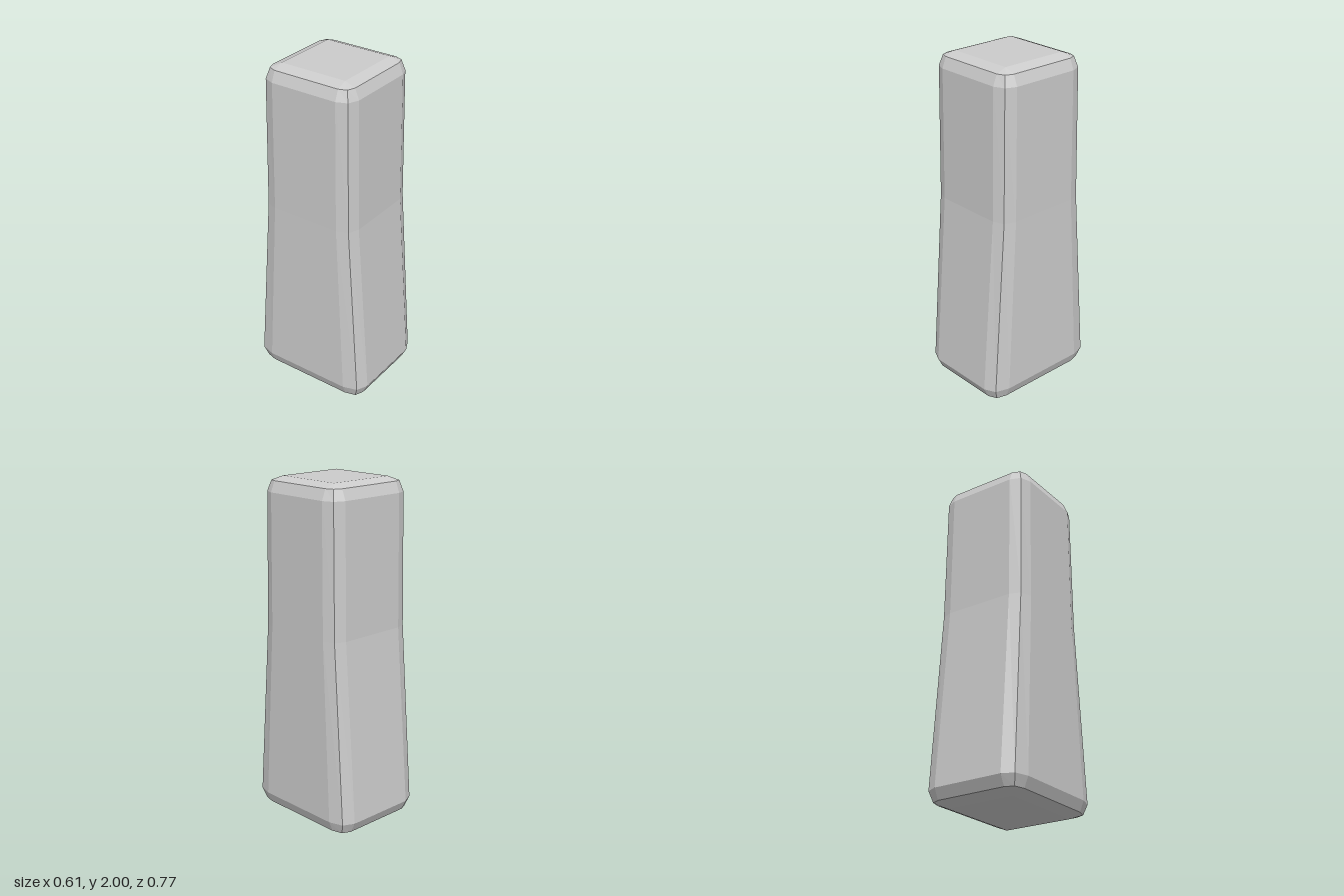
import * as THREE from 'three';

// Cross-sections, bottom to top: half width and depth (x, z), the ends of the
// straight sides (ix, iz) and the middle of the corner bevel (cx, cz).
const SECTIONS = [
  { y: 0, x: 0.21, z: 0.27, ix: 0.21, iz: 0.27, cx: 0.21, cz: 0.27 },
  { y: 0.028, x: 0.28, z: 0.353, ix: 0.213, iz: 0.27, cx: 0.263, cz: 0.331 },
  { y: 0.09, x: 0.305, z: 0.384, ix: 0.213, iz: 0.27, cx: 0.28, cz: 0.353 },
  { y: 1.15, x: 0.295, z: 0.302, ix: 0.207, iz: 0.212, cx: 0.271, cz: 0.278 },
  { y: 1.915, x: 0.292, z: 0.292, ix: 0.205, iz: 0.205, cx: 0.267, cz: 0.267 },
  { y: 1.977, x: 0.267, z: 0.267, ix: 0.205, iz: 0.205, cx: 0.25, cz: 0.25 },
  { y: 2, x: 0.205, z: 0.205, ix: 0.205, iz: 0.205, cx: 0.205, cz: 0.205 },
];

// Mirror one bevelled corner into the four quadrants, running from +x towards +z
function ring({ y, x, z, ix, iz, cx, cz }) {
  const corner = [[x, iz], [cx, cz], [ix, z]];
  const points = [];
  for (const [sx, sz] of [[1, 1], [-1, 1], [-1, -1], [1, -1]]) {
    const order = sx * sz > 0 ? corner : [...corner].reverse();
    for (const [px, pz] of order) points.push(new THREE.Vector3(sx * px, y, sz * pz));
  }
  return points;
}

function loft(sections) {
  const rings = sections.map(ring);
  const positions = [];
  // Add a triangle unless it has collapsed at a cap corner
  const face = (a, b, c) => {
    if (new THREE.Triangle(a, b, c).getArea() < 1e-8) return;
    for (const p of [a, b, c]) positions.push(p.x, p.y, p.z);
  };
  const n = rings[0].length;
  const last = rings.length - 1;
  const bottom = new THREE.Vector3(0, sections[0].y, 0);
  const top = new THREE.Vector3(0, sections[last].y, 0);
  for (let i = 0; i < n; i++) {
    const j = (i + 1) % n;
    // Walls and rounded rims
    for (let k = 0; k < last; k++) {
      const lower = rings[k], upper = rings[k + 1];
      face(lower[i], upper[i], upper[j]);
      face(lower[i], upper[j], lower[j]);
    }
    // Flat caps
    face(bottom, rings[0][i], rings[0][j]);
    face(top, rings[last][j], rings[last][i]);
  }
  const geometry = new THREE.BufferGeometry();
  geometry.setAttribute('position', new THREE.Float32BufferAttribute(positions, 3));
  geometry.computeVertexNormals();
  return geometry;
}

export function createModel() {
  const group = new THREE.Group();
  group.name = 'taperedPost';
  // Bevelled post with a flared foot
  const post = new THREE.Mesh(
    loft(SECTIONS),
    new THREE.MeshStandardMaterial({ color: 0xcccccc, flatShading: true }),
  );
  post.name = 'post';
  group.add(post);
  return group;
}
